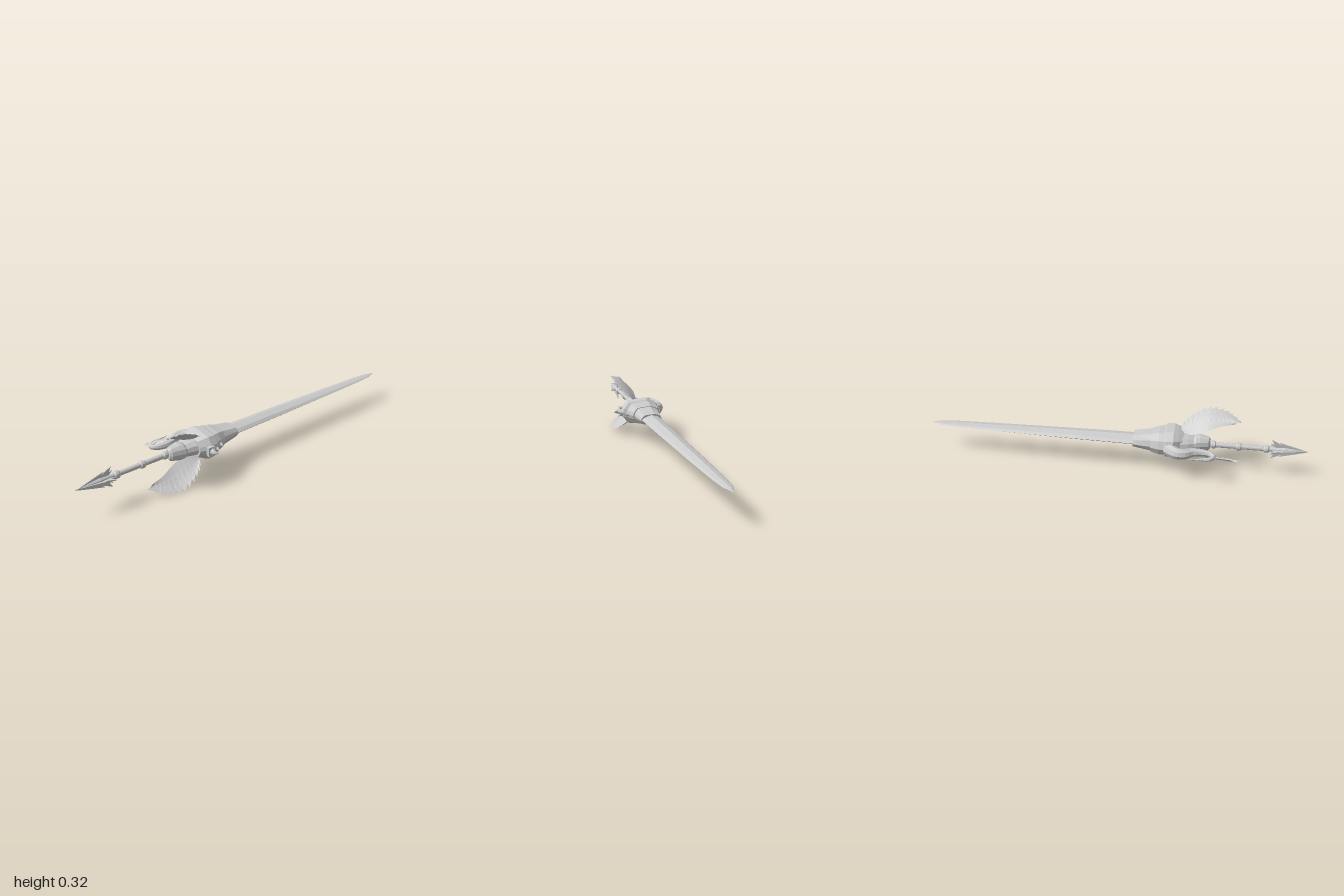
import * as THREE from 'three';

const metal = new THREE.MeshStandardMaterial({ color: 0xcccccc, flatShading: true, side: THREE.DoubleSide });
const V = (x, y, z) => new THREE.Vector3(x, y, z);
const octagon = Array.from({ length: 12 }, (_, k) => [Math.cos(k * Math.PI / 6), Math.sin(k * Math.PI / 6)]);
// Plate outline in (z, y), fuller toward +z
const plate = [[1, 0], [0.93, 0.35], [0.68, 0.86], [-0.3, 1], [-0.82, 0.66], [-1, 0],
  [-0.82, -0.66], [-0.3, -1], [0.68, -0.86], [0.93, -0.35]];
const bladeOutline = [[1, 0], [0.7, 0.55], [0, 1], [-0.7, 0.55], [-1, 0], [-0.7, -0.55], [0, -1], [0.7, -0.55]];

// Skin cross-sections [x, centreZ, halfZ, halfY] along the x axis, with end caps
function loft(outline, sections) {
  const n = outline.length, pos = [], index = [];
  for (const [x, cz, hz, hy] of sections)
    for (const [z, y] of outline) pos.push(x, y * hy, cz + z * hz);
  for (let i = 0; i < sections.length - 1; i++)
    for (let k = 0; k < n; k++) {
      const a = i * n + k, b = i * n + (k + 1) % n;
      index.push(a, a + n, b, b, a + n, b + n);
    }
  const end = (sections.length - 1) * n;
  for (let k = 1; k < n - 1; k++) index.push(0, k, k + 1, end, end + k + 1, end + k);
  return surface(pos, index);
}

function surface(pos, index) {
  const g = new THREE.BufferGeometry();
  g.setAttribute('position', new THREE.Float32BufferAttribute(pos, 3));
  g.setIndex(index);
  g.computeVertexNormals();
  return g;
}

// Tube whose radius follows radiusAt(t)
function taperedTube(points, radiusAt, steps = 28, sides = 8) {
  const curve = new THREE.CatmullRomCurve3(points);
  const g = new THREE.TubeGeometry(curve, steps, 1, sides);
  const p = g.attributes.position, v = V(0, 0, 0);
  for (let i = 0; i < p.count; i++) {
    const t = Math.floor(i / (sides + 1)) / steps, c = curve.getPointAt(t);
    v.fromBufferAttribute(p, i).sub(c).multiplyScalar(radiusAt(t)).add(c);
    p.setXYZ(i, v.x, v.y, v.z);
  }
  g.computeVertexNormals();
  return g;
}

// Curved sheet between an inner edge and a feathered outer edge
function wingGeometry(side) {
  const inner = new THREE.CatmullRomCurve3([V(-0.35, 0.045, 0.03), V(-0.4, 0.045, 0.005),
    V(-0.48, 0.075, 0.0), V(-0.55, 0.1, 0.018), V(-0.62, 0.112, 0.03)]);
  const outer = new THREE.CatmullRomCurve3([V(-0.345, 0.055, 0.055), V(-0.375, 0.095, 0.09),
    V(-0.43, 0.132, 0.115), V(-0.5, 0.158, 0.126), V(-0.57, 0.152, 0.112), V(-0.62, 0.135, 0.082), V(-0.665, 0.113, 0.036)]);
  const feathers = 13, rows = 4, pos = [], index = [];
  const columns = feathers * 2;
  for (let i = 0; i <= columns; i++) {
    const t = i / columns, a = inner.getPoint(t);
    const notch = i % 2 ? 0.82 : 1;
    // Feather tips sweep back toward the wing end
    const b = outer.getPoint(Math.min(1, t + (i % 2 ? 0 : 0.035)));
    for (let j = 0; j <= rows; j++) {
      const s = j / rows * notch, p = a.clone().lerp(b, s);
      pos.push(p.x, side * (p.y + 0.012 * Math.sin(Math.PI * s)), p.z);
    }
  }
  for (let i = 0; i < columns; i++)
    for (let j = 0; j < rows; j++) {
      const a = i * (rows + 1) + j, b = a + rows + 1;
      if (side > 0) index.push(a, a + 1, b, b, a + 1, b + 1);
      else index.push(a, b, a + 1, b, b + 1, a + 1);
    }
  return surface(pos, index);
}

export function createModel() {
  const root = new THREE.Group();
  const sword = new THREE.Group();
  sword.name = 'sword';
  sword.position.y = 0.163;
  root.add(sword);
  const add = (name, geometry, parent = sword) => {
    const m = new THREE.Mesh(geometry, metal);
    m.name = name;
    parent.add(m);
    return m;
  };

  // Long tapering blade with a central ridge
  add('blade', loft(bladeOutline, [[-0.2, 0, 0.055, 0.026], [0.2, 0, 0.049, 0.022], [0.6, 0, 0.04, 0.015],
    [0.85, 0, 0.031, 0.01], [0.94, 0, 0.023, 0.007], [1, 0, 0.001, 0.001]]));

  // Overlapping guard plates, largest at the back
  add('guardCollar', loft(plate, [[-0.25, 0, 0.072, 0.052], [-0.2, 0, 0.07, 0.047], [-0.125, 0, 0.062, 0.033], [-0.105, 0, 0.058, 0.03]]));
  add('guardMiddlePlate', loft(plate, [[-0.3, 0.005, 0.098, 0.063], [-0.24, 0.002, 0.09, 0.06], [-0.2, 0, 0.077, 0.05]]));
  add('guardRearPlate', loft(plate, [[-0.365, 0.012, 0.07, 0.05], [-0.34, 0.01, 0.09, 0.062],
    [-0.315, 0.008, 0.108, 0.071], [-0.275, 0.008, 0.106, 0.068], [-0.265, 0.006, 0.09, 0.06]]));

  // Rounded socket that receives the grip
  add('gripSocket', loft(octagon, [[-0.505, 0.005, 0.018, 0.026], [-0.495, 0.006, 0.03, 0.038], [-0.45, 0.008, 0.044, 0.046],
    [-0.43, 0.008, 0.05, 0.044], [-0.42, 0.006, 0.05, 0.038], [-0.39, 0.002, 0.062, 0.044], [-0.35, 0, 0.075, 0.05]]));

  // Hooked neck curling back on the -z side
  add('hookedNeck', taperedTube([V(-0.29, 0, -0.07), V(-0.335, 0, -0.108), V(-0.375, 0, -0.11), V(-0.41, 0, -0.09),
    V(-0.46, 0, -0.083), V(-0.51, 0, -0.094), V(-0.525, 0, -0.117), V(-0.5, 0, -0.14), V(-0.45, 0, -0.148), V(-0.4, 0, -0.157)],
  t => t < 0.7 ? 0.036 - 0.036 * t : 0.0108 + 0.006 * Math.sin((t - 0.7) * 12) * (1 - t) - (t - 0.7) * 0.034));

  // Spur and side fins on the +z side
  add('frontSpur', taperedTube([V(-0.3, 0, 0.08), V(-0.318, 0, 0.115), V(-0.322, 0, 0.135), V(-0.305, 0, 0.158)],
    t => 0.034 * (1 - t) + 0.001, 10));
  for (const x of [-0.285, -0.245]) {
    const fin = add('sidePlate', new THREE.ConeGeometry(0.03, 0.055, 5));
    fin.rotation.x = Math.PI / 2;
    fin.position.set(x, 0, x < -0.26 ? 0.105 : 0.085);
    fin.scale.x = 0.8;
  }
  // Clasp on the guard front
  add('clasp', new THREE.BoxGeometry(0.035, 0.05, 0.02)).position.set(-0.325, 0, 0.112);

  // Mirrored feathered wings
  for (const side of [1, -1]) add(side > 0 ? 'upperWing' : 'lowerWing', wingGeometry(side));

  // Slim grip with rings
  add('grip', loft(octagon, [[-0.9, 0, 0.012, 0.012], [-0.48, 0, 0.014, 0.014]]));
  for (const x of [-0.79, -0.65, -0.52])
    add('gripRing', loft(octagon, [[x - 0.014, 0, 0.015, 0.015], [x - 0.008, 0, 0.02, 0.02], [x + 0.008, 0, 0.02, 0.02], [x + 0.014, 0, 0.015, 0.015]]));

  // Barbed arrow pommel: a core spike and four fins
  const pommel = new THREE.Group();
  pommel.name = 'pommel';
  sword.add(pommel);
  add('pommelCore', loft(octagon, [[-1, 0, 0.001, 0.001], [-0.93, 0, 0.012, 0.012], [-0.88, 0, 0.017, 0.017], [-0.82, 0, 0.013, 0.013]]), pommel);
  const fin = new THREE.Shape([[-1, 0], [-0.92, 0.024], [-0.855, 0.042], [-0.87, 0.027], [-0.815, 0.056],
    [-0.83, 0.028], [-0.81, 0.034], [-0.835, 0.01], [-0.87, 0.008], [-0.93, 0.005]].map(p => new THREE.Vector2(...p)));
  const finGeometry = new THREE.ExtrudeGeometry(fin, { depth: 0.006, bevelEnabled: false }).translate(0, 0, -0.003);
  for (let i = 0; i < 4; i++) {
    const m = add('pommelFin', finGeometry, pommel);
    m.rotation.x = i * Math.PI / 2;
    if (i % 2) m.scale.y = 0.75;
  }
  return root;
}
